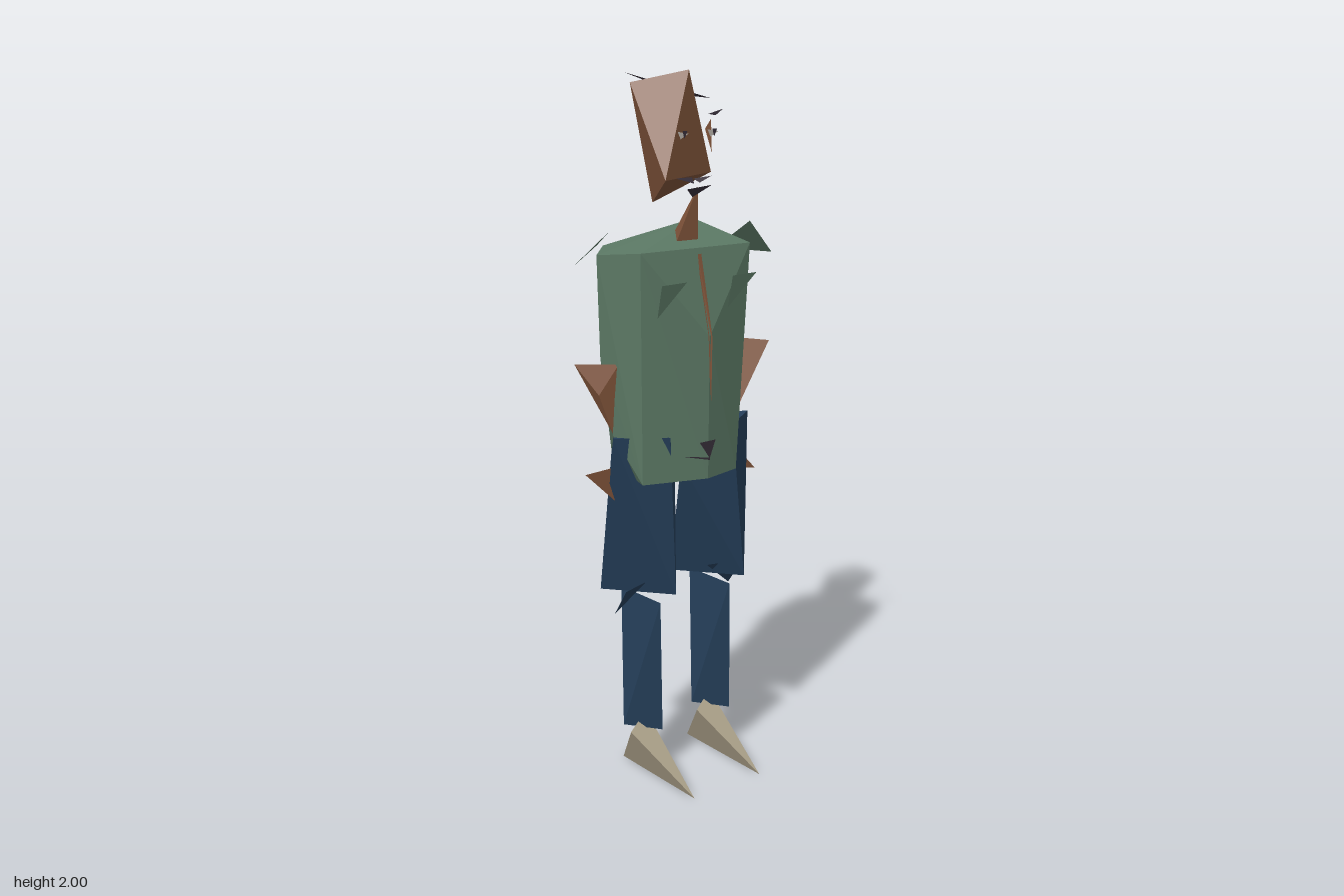
import * as THREE from 'three';
import { ConvexGeometry } from 'three/addons/geometries/ConvexGeometry.js';

const mat = (name, color) => {
  const m = new THREE.MeshStandardMaterial({ color, side: THREE.DoubleSide });
  m.name = name;
  return m;
};

export function createModel() {
  const root = new THREE.Group();
  const green = mat('shirtGreen', 0x5b7864);
  const skin = mat('skinBrown', 0x80543a);
  const blue = mat('trouserBlue', 0x253f5a);
  const tan = mat('shoeTan', 0xb8ad94);
  const dark = mat('hairDark', 0x362e39);
  const pale = mat('eyePale', 0xb9b4ac);

  const add = (name, geometry, material, x = 0) => {
    const mesh = new THREE.Mesh(geometry, material);
    mesh.name = name;
    mesh.position.x = x;
    root.add(mesh);
    return mesh;
  };
  // faceted solid around a few corners
  const solid = (name, material, pts, x = 0) =>
    add(name, new ConvexGeometry(pts.map(p => new THREE.Vector3(...p))), material, x);
  // flat shard, fanned from its first corner
  const shard = (name, material, pts) => {
    const g = new THREE.BufferGeometry();
    const pos = [];
    for (let i = 1; i < pts.length - 1; i++) pos.push(...pts[0], ...pts[i], ...pts[i + 1]);
    g.setAttribute('position', new THREE.Float32BufferAttribute(pos, 3));
    g.computeVertexNormals();
    return add(name, g, material);
  };

  // shirt body
  solid('torso', green, [
    [-0.26, 1.53, -0.05], [-0.19, 1.54, 0.05], [0.185, 1.53, 0.05],
    [0.13, 1.58, -0.13], [0.165, 1.53, -0.155], [0, 1.54, -0.195], [-0.16, 1.53, -0.16],
    [0, 1.3, 0.105], [-0.245, 1.25, -0.06], [0.205, 1.3, -0.06], [0.22, 1.05, -0.07],
    [-0.22, 1.03, -0.04], [-0.18, 0.9, 0.04], [0, 0.9, 0.1], [0.12, 0.9, 0.075],
    [0.17, 0.92, -0.1], [0, 0.91, -0.18], [-0.15, 0.92, -0.14],
  ]);
  // shirt details
  shard('leftShoulderFlap', green, [[0.205, 1.585, 0.025], [0.205, 1.49, -0.125], [0.285, 1.49, 0.025]]);
  shard('rightShoulderFlap', green, [[-0.205, 1.59, -0.06], [-0.285, 1.49, -0.125], [-0.205, 1.54, -0.125]]);
  for (const [side, x] of [['left', 0.075], ['right', -0.165]])
    shard(side + 'PocketFlap', green, [[x, 1.46, 0.11], [x, 1.37, 0.09], [x + 0.083, 1.46, 0.11]]);
  shard('shirtOpening', skin, [[-0.006, 1.52, 0.06], [-0.004, 1.3, 0.109], [0.004, 1.12, 0.108],
    [0.006, 1.3, 0.109], [0.006, 1.52, 0.06]]);
  shard('buckle', dark, [[-0.035, 1.01, 0.107], [0, 0.96, 0.107], [0.02, 1.01, 0.107]]);
  shard('beltEdge', dark, [[-0.09, 0.978, 0.095], [0, 0.955, 0.107], [0, 0.962, 0.107]]);

  // elbows and hands
  for (const [side, s] of [['left', 1], ['right', -1]]) {
    const f = s > 0 ? 0 : -0.1, b = s > 0 ? -0.1 : -0.01;
    solid(side + 'Forearm', skin, [[s * 0.302, 1.23, f], [s * 0.22, 1.235, b],
      [s * 0.22, 1.035, -0.04], [s * 0.265, 1.15, -0.04]]);
  }
  shard('leftHand', skin, [[0.22, 0.92, -0.05], [0.22, 0.855, -0.05], [0.293, 0.84, -0.045]]);
  shard('rightHand', skin, [[-0.303, 0.93, -0.055], [-0.2, 0.83, -0.05], [-0.215, 0.935, -0.05]]);

  // legs: mirrored hips, but knees, shins and shoes repeat with the same twist
  for (const [side, s] of [['left', 1], ['right', -1]]) {
    const o = s > 0 ? 0 : -0.25;
    solid(side + 'Thigh', blue, [
      [s * 0.237, 1.03, -0.015], [s * 0.11, 1.03, 0.073], [s * 0.13, 1.0, -0.165],
      [s * 0.015, 0.9, -0.03], [0.052 + o, 0.55, -0.14], [0.2 + o, 0.545, 0.02],
    ]);
    shard(side + 'Knee', blue, [[s * 0.21, 0.585, 0], [s * 0.11, 0.58, -0.04], [s * 0.207, 0.5, -0.06]]);
    solid(side + 'Shin', blue, [[0.125, 0.545, 0.045], [0.125, 0.54, -0.14],
      [0.085, 0.14, -0.08], [0.165, 0.13, 0], [0.135, 0.13, -0.06]], o);
    solid(side + 'Shoe', tan, [[0.12, 0, 0.193], [0.12, 0, -0.145],
      [0.042, 0.155, 0], [0.17, 0.15, -0.1]], s > 0 ? 0 : -0.24);
  }

  // neck and head
  solid('neck', skin, [[0.042, 1.69, 0], [-0.035, 1.54, 0], [0.042, 1.54, 0], [0.01, 1.54, -0.08]]);
  solid('head', skin, [[-0.093, 1.965, -0.122], [0.015, 2, -0.005], [0.115, 1.72, -0.035],
    [-0.095, 1.72, 0.035], [-0.025, 1.64, -0.115]]);
  shard('leftEar', skin, [[0.135, 1.86, -0.06], [0.13, 1.77, -0.05], [0.138, 1.83, -0.09]]);
  shard('hair', dark, [[-0.095, 1.99, -0.145], [0.1, 1.92, -0.02], [0.1, 1.92, -0.145]]);
  shard('chinBeard', dark, [[-0.015, 1.69, 0.025], [0.015, 1.665, 0.01], [0.07, 1.695, 0.025]]);

  // face details
  for (const [side, x] of [['left', 0.05], ['right', -0.05]]) {
    shard(side + 'Eye', pale, [[x - 0.02, 1.848, 0.055], [x - 0.01, 1.828, 0.055], [x + 0.02, 1.84, 0.05]]);
    shard(side + 'Pupil', dark, [[x - 0.006, 1.85, 0.058], [x, 1.828, 0.058], [x + 0.01, 1.848, 0.058]]);
  }
  shard('eyebrow', dark, [[0.02, 1.89, 0.07], [0.045, 1.885, 0.07], [0.075, 1.9, 0.065]]);
  shard('upperLip', dark, [[-0.08, 1.728, 0.06], [-0.03, 1.712, 0.075], [-0.03, 1.728, 0.065]]);
  shard('lowerLip', dark, [[-0.03, 1.725, 0.07], [-0.02, 1.715, 0.085], [0.02, 1.73, 0.085]]);

  return root;
}
